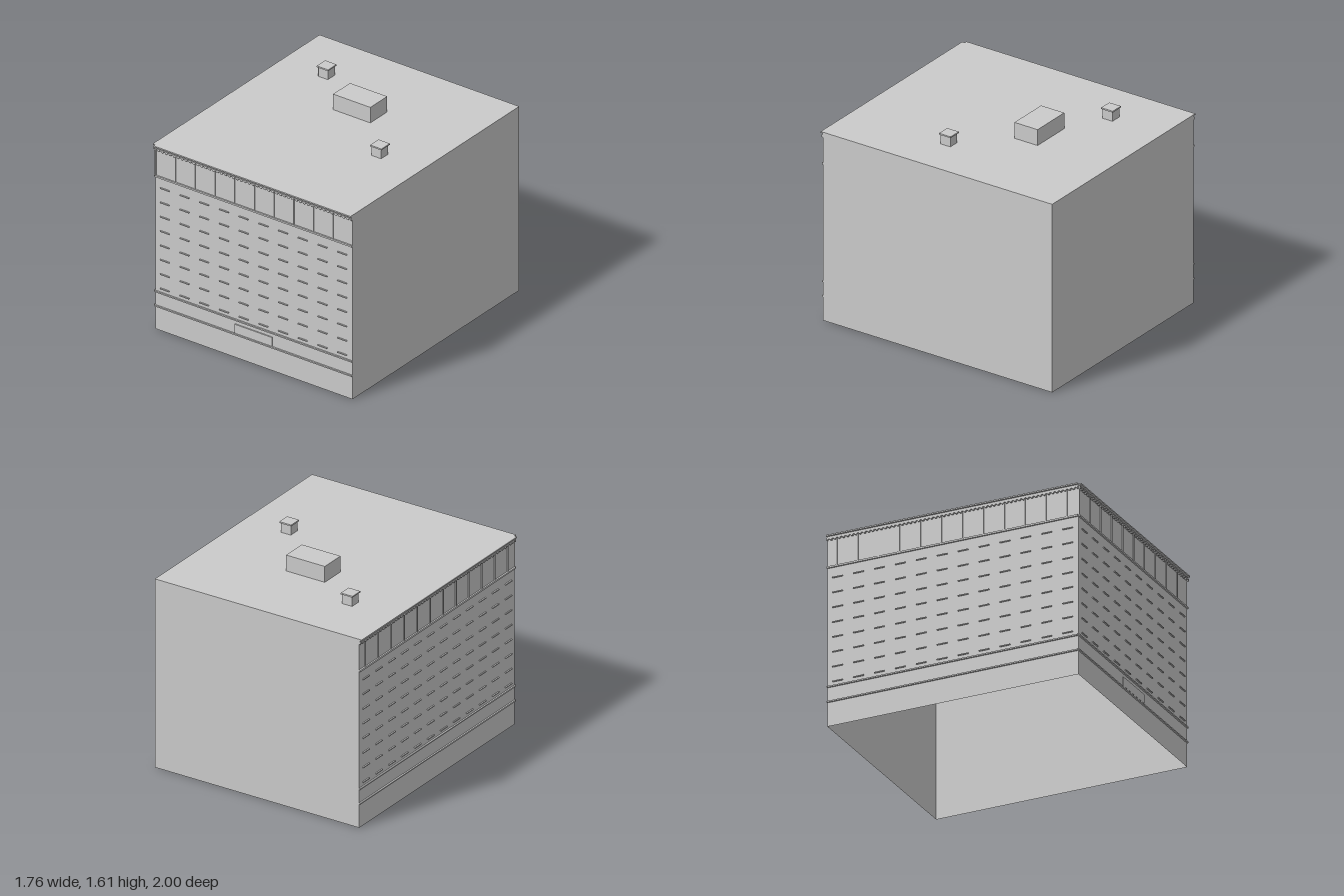
import * as THREE from 'three';

export function createModel() {
  const model = new THREE.Group();
  const stone = new THREE.MeshStandardMaterial({ color: 0xcacaca, side: THREE.DoubleSide });
  stone.name = 'grey stone';

  function add(parent, name, geometry) {
    const mesh = new THREE.Mesh(geometry, stone);
    mesh.name = name;
    parent.add(mesh);
    return mesh;
  }
  // box given by its lower and upper corner
  function block(parent, name, [x0, y0, z0], [x1, y1, z1]) {
    const mesh = add(parent, name, new THREE.BoxGeometry(x1 - x0, y1 - y0, z1 - z0));
    mesh.position.set((x0 + x1) / 2, (y0 + y1) / 2, (z0 + z1) / 2);
    return mesh;
  }

  // strip of small arches hanging below the cornice
  function arcadeGeometry(length, count) {
    const pitch = length / count, r = pitch * 0.32;
    const top = 1.463, bottom = 1.444;
    const shape = new THREE.Shape();
    shape.moveTo(0, top);
    shape.lineTo(0, bottom);
    for (let i = 0; i < count; i++) {
      const cx = (i + 0.5) * pitch;
      shape.lineTo(cx - r, bottom);
      shape.absarc(cx, bottom, r, Math.PI, 0, true);
    }
    shape.lineTo(length, bottom);
    shape.lineTo(length, top);
    shape.closePath();
    return new THREE.ExtrudeGeometry(shape, { depth: 0.014, bevelEnabled: false, curveSegments: 6 });
  }

  // ornament of one street wall: x runs along the wall, z points outwards
  function facade(name, length, bays, pilasterShift) {
    const wall = new THREE.Group();
    wall.name = name;
    model.add(wall);
    const pitch = length / bays;

    // string courses
    for (const [y, h] of [[0.185, 0.01], [0.301, 0.01], [1.23, 0.013]]) {
      block(wall, 'stringCourse', [0, y, 0], [length, y + h, 0.012]);
    }
    for (let i = 0; i < bays; i++) {
      // attic pilasters
      const px = i * pitch + pilasterShift;
      block(wall, 'pilaster', [px, 1.243, 0], [px + 0.009, 1.45, 0.007]);
      // window sills on eight floors
      const cx = (i + 0.5) * pitch;
      for (let f = 0; f < 8; f++) {
        const y = 0.341 + f * 0.1157;
        block(wall, 'windowSill', [cx - 0.04, y - 0.003, 0], [cx + 0.04, y + 0.004, 0.01]);
      }
    }
    // cornice
    add(wall, 'corniceArcade', arcadeGeometry(length, bays * 5));
    block(wall, 'corniceLower', [0, 1.463, 0], [length, 1.475, 0.008]);
    block(wall, 'corniceUpper', [0, 1.475, 0], [length, 1.485, 0.022]);
    return wall;
  }

  // hollow building, open at the bottom
  const building = block(model, 'building', [-0.858, 0, -1], [0.875, 1.485, 0.978]);
  const index = Array.from(building.geometry.index.array);
  index.splice(18, 6);
  building.geometry.setIndex(index);
  building.geometry.clearGroups();

  facade('frontFacade', 1.733, 10, 0).position.set(-0.858, 0, 0.978);
  const side = facade('sideFacade', 1.978, 12, 0.07);
  side.position.set(-0.858, 0, -1);
  side.rotation.y = -Math.PI / 2;

  // plain panel over the entrance
  block(model, 'entrancePanel', [-0.155, 0.2, 0.978], [0.173, 0.271, 0.987]);

  // roof structures
  block(model, 'roofHouse', [-0.153, 1.485, -0.38], [0.174, 1.61, -0.18]);
  for (const [x, z] of [[-0.485, -0.55], [0.505, 0.153]]) {
    block(model, 'chimney', [x - 0.042, 1.485, z - 0.042], [x + 0.042, 1.559, z + 0.042]);
    block(model, 'chimneyCap', [x - 0.05, 1.559, z - 0.05], [x + 0.05, 1.57, z + 0.05]);
  }
  return model;
}
